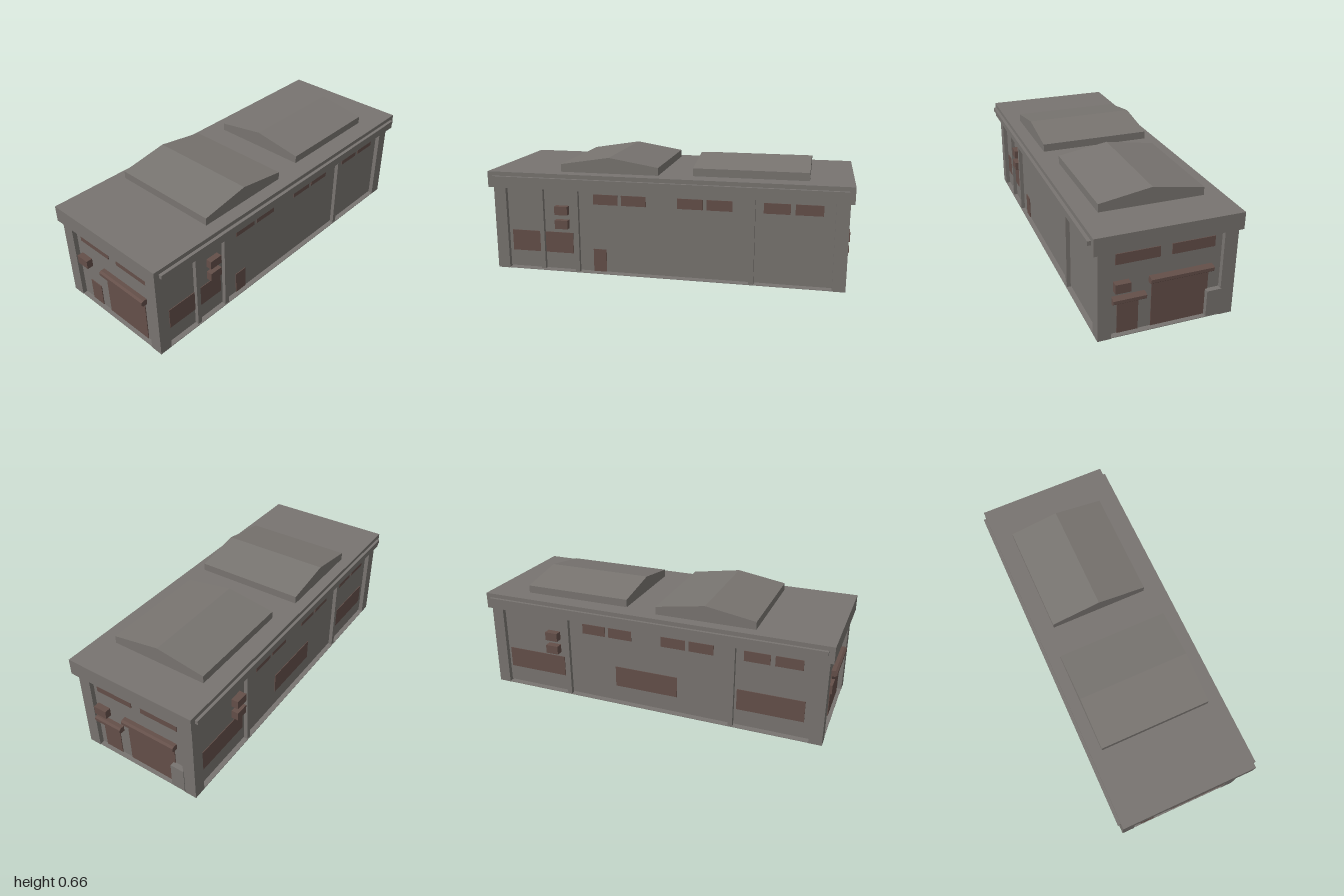
import * as THREE from 'three';

const grey = new THREE.MeshStandardMaterial({ color: 0x787470 });
grey.name = 'concrete grey';
const brown = new THREE.MeshStandardMaterial({ color: 0x644f49 });
brown.name = 'rust brown';

// Wall planes and outer column faces
const FRONT = 0.325, BACK = -0.34, END = 0.955;
const COL_FRONT = 0.35, COL_BACK = -0.365, COL_END = 0.98;
const BASE = 0.01, EAVES = 0.48, T = 0.004;

export function createModel() {
  const model = new THREE.Group();
  model.name = 'warehouse';

  const add = (name, geometry, material) => {
    const mesh = new THREE.Mesh(geometry, material);
    mesh.name = name;
    model.add(mesh);
    return mesh;
  };

  // Box given by its limits on each axis
  const box = (name, material, x0, x1, y0, y1, z0, z1) => {
    const g = new THREE.BoxGeometry(Math.abs(x1 - x0), y1 - y0, Math.abs(z1 - z0));
    g.translate((x0 + x1) / 2, (y0 + y1) / 2, (z0 + z1) / 2);
    return add(name, g, material);
  };

  // Thin plates laid on the long walls (s = 1 front, -1 back) and end walls (s = 1 left, -1 right)
  const sidePlate = (name, s, x0, x1, y0, y1) => {
    const z = s > 0 ? FRONT : BACK;
    box(name, brown, x0, x1, y0, y1, z - s * 0.001, z + s * T);
  };
  const endPlate = (name, s, z0, z1, y0, y1) =>
    box(name, brown, s * (END - 0.001), s * (END + T), y0, y1, s * z0, s * z1);

  // Floor, main body and roof
  box('floor', grey, -0.978, 0.978, 0.001, 0.004, COL_BACK, COL_FRONT);
  box('walls', grey, -END, END, BASE, EAVES, BACK, FRONT);
  box('roofSlab', grey, -1, 1, EAVES, 0.57, -0.38, 0.376);
  box('frontGutter', grey, -0.97, 0.97, 0.525, 0.547, 0.37, 0.394);
  box('backGutter', grey, -0.97, 0.97, 0.525, 0.547, -0.396, -0.37);

  // Corner columns
  for (const s of [-1, 1]) {
    box('frontCornerColumn', grey, s * 0.91, s * COL_END, 0, EAVES, 0.28, COL_FRONT);
    box('backCornerColumn', grey, s * 0.91, s * COL_END, 0, EAVES, COL_BACK, -0.293);
  }

  // Slim wall pillars
  for (const x of [-0.497, 0.484]) box('frontPillar', grey, x - 0.013, x + 0.013, 0, EAVES, FRONT, 0.347);
  for (const x of [-0.484, 0.497]) box('backPillar', grey, x - 0.013, x + 0.013, 0, EAVES, -0.362, BACK);
  box('frontPillar', grey, -0.715, -0.69, BASE, EAVES, FRONT, 0.347);

  // Gabled roof lights, ridge along local z
  const gable = (name, width, length) => {
    const w = width / 2;
    const shape = new THREE.Shape([
      new THREE.Vector2(-w, 0), new THREE.Vector2(w, 0), new THREE.Vector2(w, 0.043),
      new THREE.Vector2(0, 0.088), new THREE.Vector2(-w, 0.043),
    ]);
    const g = new THREE.ExtrudeGeometry(shape, { depth: length, bevelEnabled: false });
    g.translate(0, 0, -length / 2);
    return add(name, g, grey);
  };
  gable('rightRoofGable', 0.555, 0.62).position.set(-0.313, 0.57, -0.007);
  const leftGable = gable('leftRoofGable', 0.553, 0.62);
  leftGable.rotation.y = Math.PI / 2;
  leftGable.position.set(0.46, 0.57, -0.005);

  // High window pairs, the back being the front turned half round
  const highWindows = [[-0.4, -0.26], [-0.24, -0.1], [0.075, 0.215], [0.235, 0.375], [0.54, 0.68], [0.705, 0.85]];
  for (const s of [1, -1])
    for (const [a, b] of highWindows) sidePlate('highWindow', s, s > 0 ? a : -b, s > 0 ? b : -a, 0.398, 0.455);

  // Low windows and front door
  sidePlate('lowWindow', 1, -0.89, -0.525, 0.105, 0.225);
  for (const [a, b] of [[0.53, 0.895], [-0.17, 0.2], [-0.875, -0.51]]) sidePlate('lowWindow', -1, a, b, 0.105, 0.225);
  sidePlate('frontDoor', 1, -0.405, -0.33, BASE, 0.14);

  // Wall units in stacked pairs
  for (const y of [0.253, 0.333]) {
    box('frontWallUnit', brown, -0.62, -0.545, y, y + 0.049, FRONT, 0.358);
    box('backWallUnit', brown, 0.55, 0.625, y, y + 0.049, -0.38, BACK);
  }

  // Rolled canopy over a doorway, with a chamfered outline
  const canopy = (s, z0, z1, y) => {
    const shape = new THREE.Shape([
      new THREE.Vector2(0, 0), new THREE.Vector2(0.022, 0), new THREE.Vector2(0.034, 0.01),
      new THREE.Vector2(0.034, 0.027), new THREE.Vector2(0.022, 0.034), new THREE.Vector2(0, 0.034),
    ]);
    const g = new THREE.ExtrudeGeometry(shape, { depth: z1 - z0, bevelEnabled: false });
    g.translate(END, y, z0);
    if (s < 0) g.rotateY(Math.PI);
    add('doorCanopy', g, brown);
  };

  // End walls, the second turned half round
  for (const s of [1, -1]) {
    endPlate('endWindow', s, 0.03, 0.255, 0.39, 0.447);
    endPlate('endWindow', s, -0.255, -0.03, 0.39, 0.447);
    endPlate('loadingDoor', s, -0.23, 0.07, BASE, 0.27);
    canopy(s, -0.245, 0.085, 0.263);
    box('endWallUnit', brown, s * END, s * 0.99, 0.253, 0.302, s * 0.187, s * 0.265);
  }
  endPlate('endDoor', 1, 0.136, 0.245, BASE, 0.19);
  canopy(1, 0.105, 0.275, 0.187);
  endPlate('endDoor', -1, 0.135, 0.22, BASE, 0.14);

  // Utility cabinet beside the loading door
  box('utilityCabinet', grey, END, 0.984, BASE, 0.155, -0.298, -0.218);

  return model;
}
